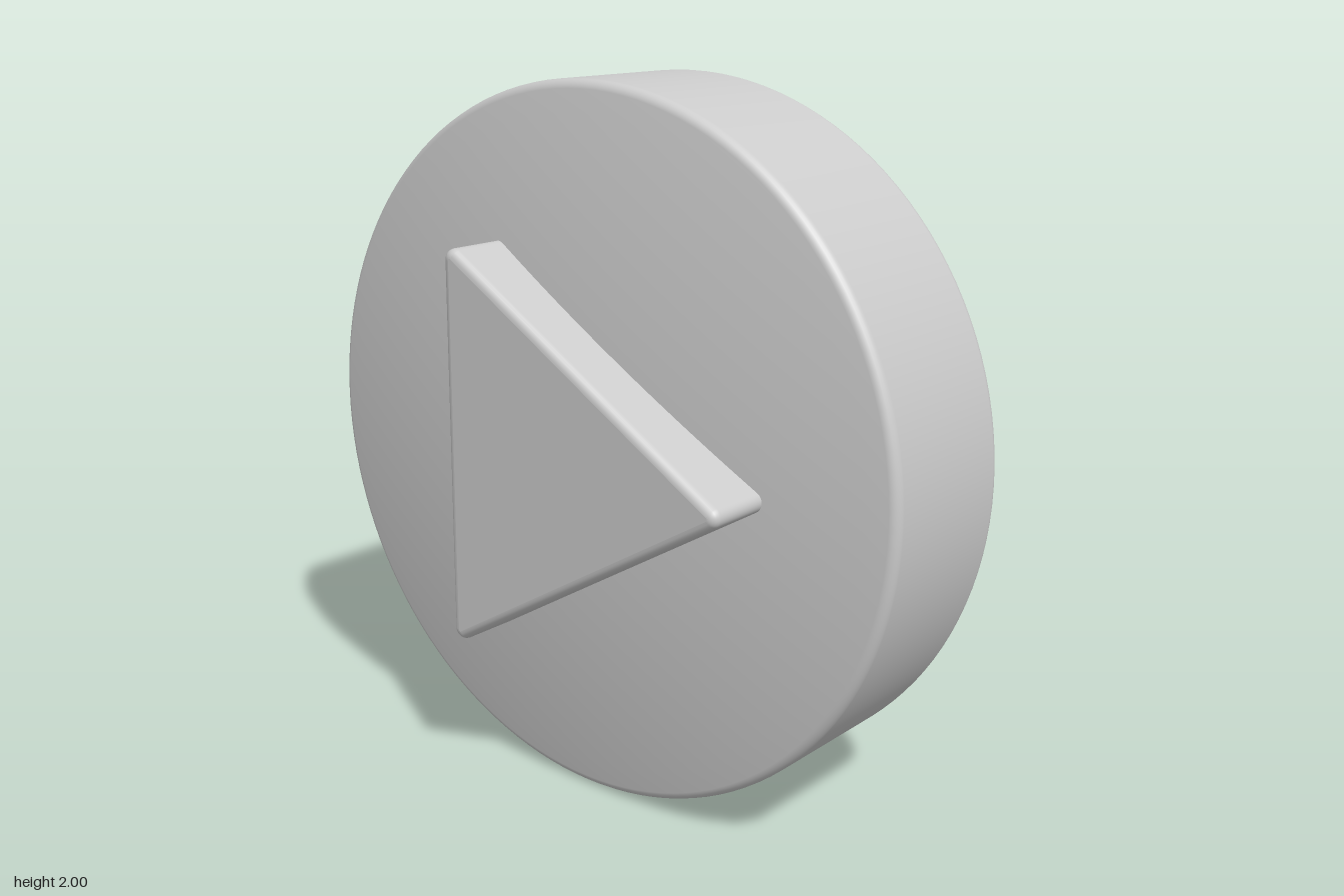
import * as THREE from 'three';
import { mergeVertices } from 'three/addons/utils/BufferGeometryUtils.js';

const material = new THREE.MeshStandardMaterial({ color: 0xcccccc });

// Domed disc: a shallow spherical cap on both faces, with a small fillet at the rim
function discGeometry() {
  const fillet = 0.03, halfRim = 0.21, domeTop = 0.325, tilt = THREE.MathUtils.degToRad(10);
  const edgeR = 1 - fillet + fillet * Math.sin(tilt);
  const edgeY = halfRim + fillet * Math.cos(tilt);
  const rise = domeTop - edgeY;
  const R = (edgeR * edgeR + rise * rise) / (2 * rise);
  const upper = [];
  for (let i = 0; i <= 6; i++) {
    const a = (i / 6) * (Math.PI / 2 - tilt);
    upper.push([1 - fillet + fillet * Math.cos(a), halfRim + fillet * Math.sin(a)]);
  }
  for (let i = 1; i <= 16; i++) {
    const r = edgeR * (1 - i / 16);
    upper.push([r, domeTop - R + Math.sqrt(R * R - r * r)]);
  }
  const lower = upper.map(([r, y]) => [r, -y]).reverse();
  const profile = [...lower, ...upper].map(([r, y]) => new THREE.Vector2(r, y));
  return new THREE.LatheGeometry(profile, 128).rotateX(Math.PI / 2);
}

// Raised triangle with rounded corners and soft edges
function triangleGeometry() {
  const r = 0.03, bevel = 0.025, left = -0.26, tip = 0.61, half = 0.525;
  const slope = Math.atan2(half, tip - left);
  const shape = new THREE.Shape();
  shape.absarc(left, -half, r, Math.PI, 1.5 * Math.PI + slope, false);
  shape.absarc(tip, 0, r, slope - Math.PI / 2, Math.PI / 2 - slope, false);
  shape.absarc(left, half, r, Math.PI / 2 - slope, Math.PI, false);
  const geometry = new THREE.ExtrudeGeometry(shape, {
    depth: 0.25, curveSegments: 8, bevelEnabled: true,
    bevelThickness: bevel, bevelSize: bevel, bevelOffset: -bevel, bevelSegments: 5,
  });
  // Area-weighted smooth normals keep the large faces flat
  geometry.deleteAttribute('normal');
  geometry.deleteAttribute('uv');
  const smooth = mergeVertices(geometry, 1e-5);
  smooth.computeVertexNormals();
  return smooth;
}

export function createModel() {
  const group = new THREE.Group();
  group.name = 'playButton';

  const disc = new THREE.Mesh(discGeometry(), material);
  disc.name = 'disc';
  disc.position.set(0, 1, -0.075);

  const triangle = new THREE.Mesh(triangleGeometry(), material);
  triangle.name = 'raisedTriangle';
  triangle.position.set(0, 1.005, 0.125);

  group.add(disc, triangle);
  return group;
}
